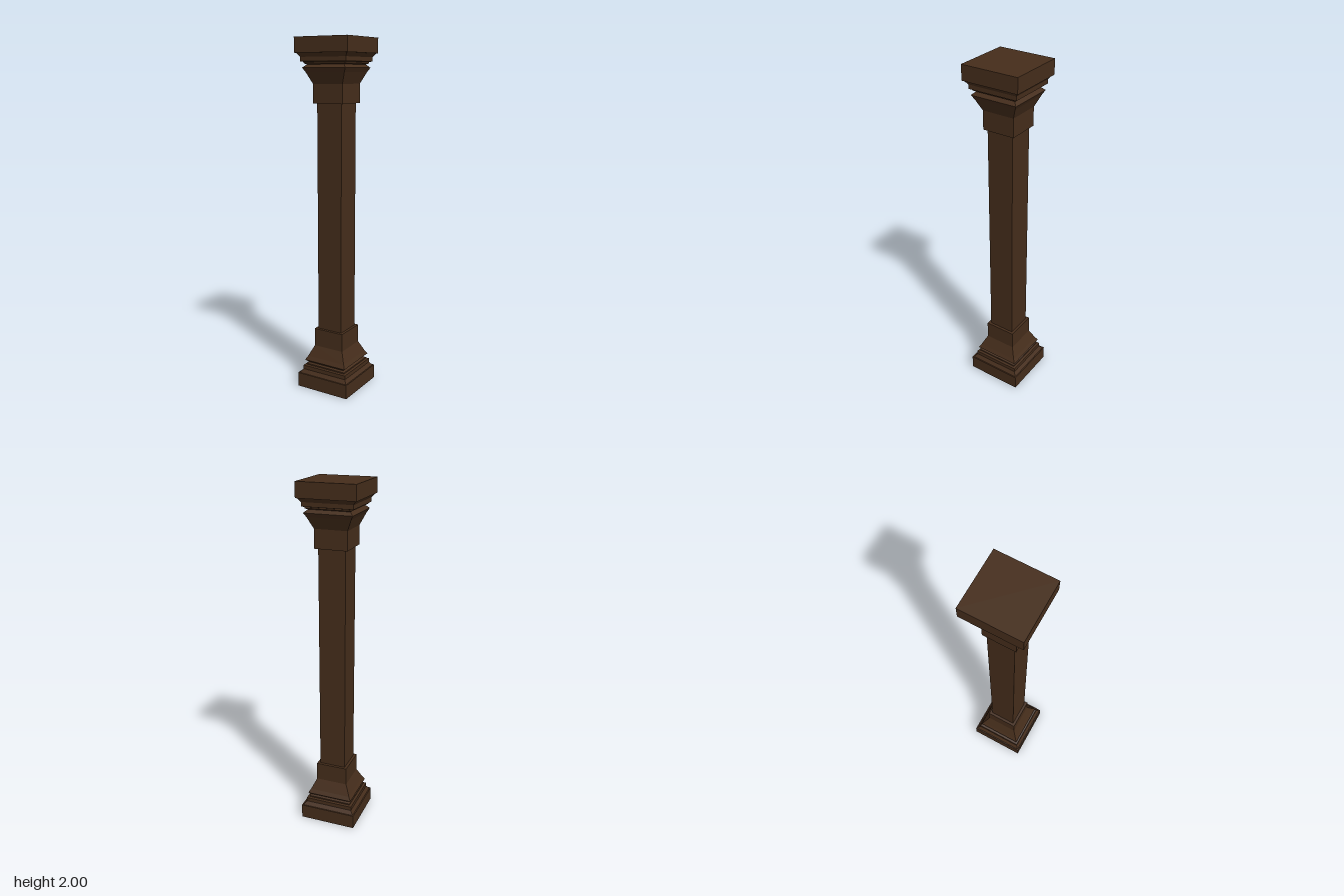
import * as THREE from 'three';

const wood = new THREE.MeshStandardMaterial({ color: 0x452d1b, flatShading: true });

// Square moulding: [half width, height] profile turned with four sides
function squareTurned(name, profile) {
  const points = profile.map(([half, y]) => new THREE.Vector2(half * Math.SQRT2, y));
  const mesh = new THREE.Mesh(new THREE.LatheGeometry(points, 4, Math.PI / 4), wood);
  mesh.name = name;
  return mesh;
}

export function createModel() {
  const column = new THREE.Group();
  column.name = 'column';

  // Plinth slab with a closed underside and top ledge
  const plinth = [[0, 0], [0.165, 0], [0.165, 0.083], [0, 0.083]];

  // Stepped fillets, undercut neck, flared skirt and straight collar
  const moulding = [
    [0, 0.083], [0.158, 0.083], [0.142, 0.104], [0.142, 0.127], [0.128, 0.13],
    [0.128, 0.137], [0.116, 0.143], [0.135, 0.16], [0.122, 0.182],
    [0.093, 0.245], [0.093, 0.35], [0, 0.35],
  ];

  // The capital repeats the base upside down
  const flip = (profile) => profile.map(([half, y]) => [half, 2 - y]).reverse();

  column.add(
    squareTurned('basePlinth', plinth),
    squareTurned('baseMoulding', moulding),
    squareTurned('shaft', [[0, 0.35], [0.077, 0.35], [0.077, 1.65], [0, 1.65]]),
    squareTurned('capitalMoulding', flip(moulding)),
    squareTurned('capitalSlab', flip(plinth)),
  );
  return column;
}
